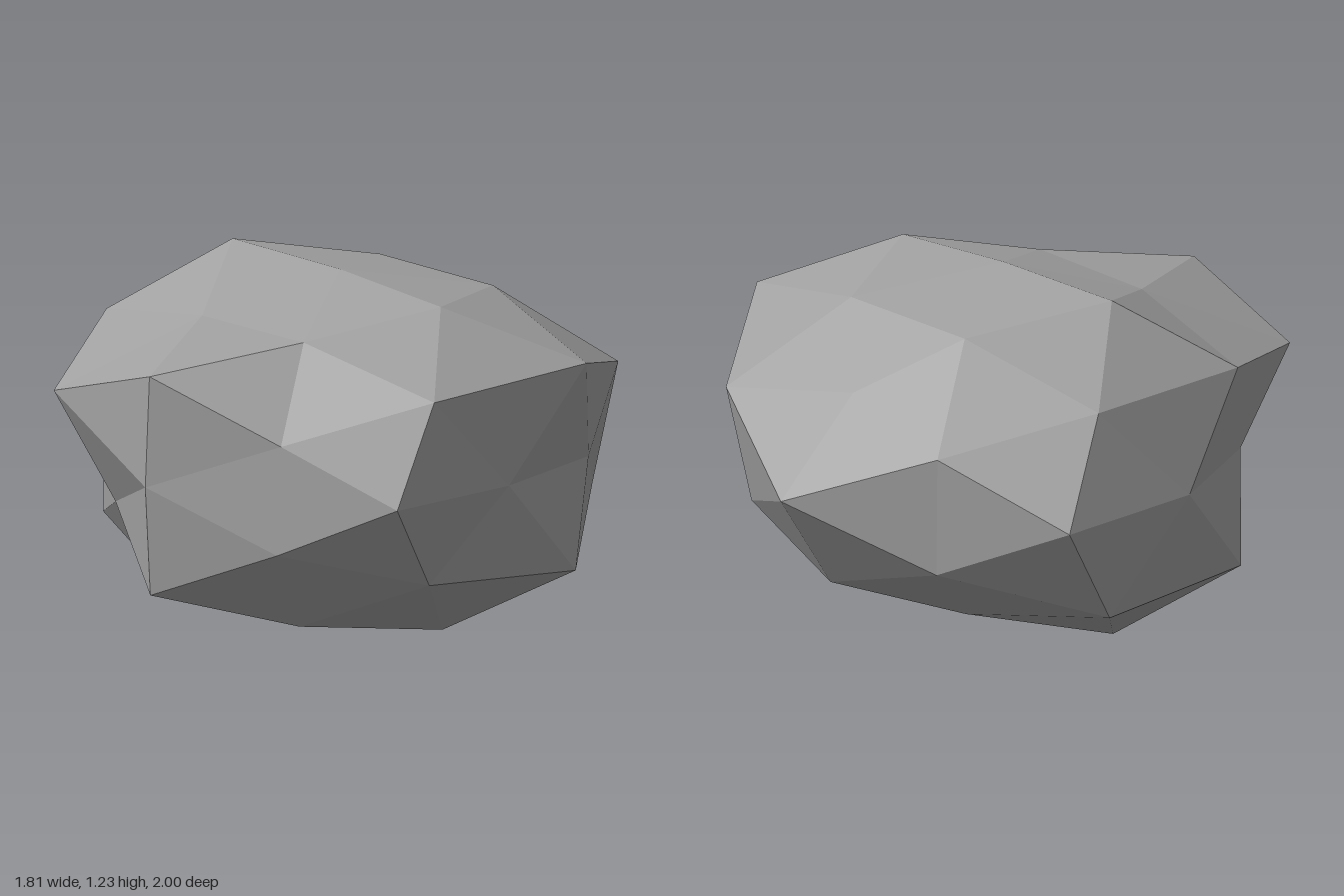
import * as THREE from 'three';

// Radius of every point of the once-divided icosahedron, grouped by the size of
// its coordinates (in tenths). Within a group the order is by sign: x flips
// fastest, then y, then z; zero coordinates are skipped.
const RADII = {
  '5,9,0': [0.963, 1.028, 0.98, 1.04],
  '0,5,9': [1.07, 1.065, 0.85, 0.977],
  '9,0,5': [0.97, 0.846, 0.89, 1.092],
  '10,0,0': [0.85, 0.93],
  '0,10,0': [0.87, 0.843],
  '0,0,10': [0.93, 1.07],
  '3,8,5': [0.84, 0.83, 0.935, 0.955, 0.92, 0.92, 0.92, 0.89],
  '5,3,8': [0.845, 1.065, 0.9, 0.835, 1.035, 0.965, 0.94, 0.98],
  '8,5,3': [0.98, 1.035, 0.928, 1.05, 1.093, 0.976, 1.045, 1.09],
};
const FLATTEN = 0.7;

function radiusAt(dir) {
  const tenths = dir.toArray().map((c) => Math.round(Math.abs(c) * 10));
  let index = 0;
  let bit = 1;
  dir.toArray().forEach((c, i) => {
    if (tenths[i] === 0) return;
    if (c < 0) index += bit;
    bit *= 2;
  });
  return RADII[tenths.join(',')][index];
}

export function createModel() {
  const stone = new THREE.MeshStandardMaterial({ color: 0xa0a0a0, flatShading: true });
  stone.name = 'stone grey';

  // Boulder: a low-poly ball, pushed in and out along its radii, then flattened
  const geometry = new THREE.IcosahedronGeometry(1, 1);
  const position = geometry.attributes.position;
  const p = new THREE.Vector3();
  for (let i = 0; i < position.count; i++) {
    p.fromBufferAttribute(position, i).normalize();
    p.multiplyScalar(radiusAt(p));
    position.setXYZ(i, p.x + 0.02, p.y * FLATTEN + 0.62, p.z + 0.07);
  }
  geometry.computeVertexNormals();

  const boulder = new THREE.Mesh(geometry, stone);
  boulder.name = 'boulder';

  const model = new THREE.Group();
  model.name = 'rock';
  model.add(boulder);
  return model;
}
